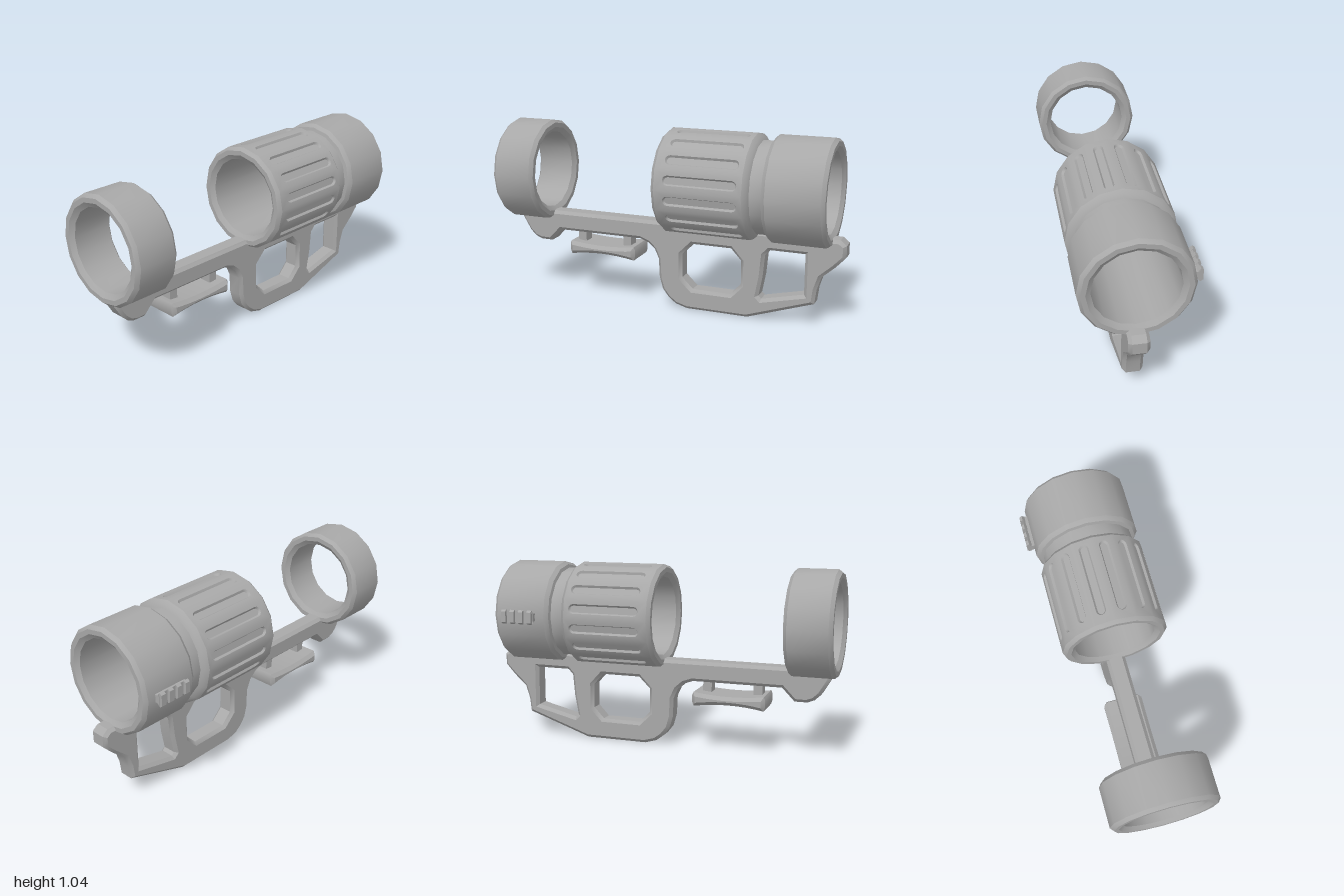
import * as THREE from 'three';
import { mergeGeometries, toCreasedNormals } from 'three/addons/utils/BufferGeometryUtils.js';

const SIDES = 16, RADIUS = 0.295, BORE = 0.225;
const AXIS_Y = 0.745, AXIS_Z = 0.02;
const STEP = (Math.PI * 2) / SIDES;

const toShape = (pts, Type = THREE.Shape) => new Type(pts.map(([x, y]) => new THREE.Vector2(x, y)));

// Position-only, unindexed copy, ready for merging
function bare(g) {
  const out = g.index ? g.toNonIndexed() : g;
  for (const name of ['uv', 'normal']) out.deleteAttribute(name);
  return out;
}

// Creased normals, computed at a larger scale so small bevels stay distinct
function crease(g, angle = 0.6) {
  const big = bare(g).scale(100, 100, 100);
  return toCreasedNormals(big, angle).scale(0.01, 0.01, 0.01);
}

// Lathe along x; profile entries are [radius, x]
function tube(profile) {
  return new THREE.LatheGeometry(profile.map(([r, x]) => new THREE.Vector2(r, x)), SIDES)
    .rotateZ(-Math.PI / 2);
}

// Chamfered plate spanning z0..z1
function plate(outline, holes, z0, z1, bevel) {
  const shape = toShape(outline);
  holes.forEach((h) => shape.holes.push(toShape(h, THREE.Path)));
  const g = new THREE.ExtrudeGeometry(shape, {
    depth: z1 - z0 - 2 * bevel, bevelEnabled: true, bevelSegments: 1,
    bevelSize: bevel, bevelThickness: bevel, bevelOffset: -bevel,
  });
  return g.translate(0, 0, z0 + bevel);
}

// Round-ended slot outline, counter-clockwise
function slotOutline(cx, halfLength, r) {
  const pts = [];
  for (const side of [1, -1]) {
    for (let i = 0; i <= 6; i++) {
      const a = (i / 6 - 0.5) * Math.PI + (side < 0 ? Math.PI : 0);
      pts.push([cx + side * (halfLength - r) + Math.cos(a) * r, Math.sin(a) * r]);
    }
  }
  return pts;
}

// One flat side of the grip sleeve with a recessed slot
function slottedFacet(x0, x1) {
  const h = RADIUS * Math.sin(STEP / 2), depth = 0.012;
  const outer = slotOutline(0.255, 0.207, 0.027), inner = slotOutline(0.255, 0.199, 0.019);
  const face = toShape([[x0, -h], [x1, -h], [x1, h], [x0, h]]);
  face.holes.push(toShape(outer, THREE.Path));
  const floor = new THREE.ShapeGeometry(toShape(inner)).translate(0, 0, -depth);
  const wall = [];
  outer.forEach((o, i) => {
    const j = (i + 1) % outer.length;
    const a = [...o, 0], b = [...outer[j], 0];
    const c = [...inner[j], -depth], d = [...inner[i], -depth];
    wall.push(...a, ...b, ...d, ...b, ...c, ...d);
  });
  const wallGeo = new THREE.BufferGeometry();
  wallGeo.setAttribute('position', new THREE.Float32BufferAttribute(wall, 3));
  return mergeGeometries([bare(new THREE.ShapeGeometry(face)), bare(floor), wallGeo])
    .translate(0, 0, RADIUS * Math.cos(STEP / 2));
}

export function createModel() {
  const model = new THREE.Group();
  const grey = new THREE.MeshStandardMaterial({ color: 0xa8a8a8 });
  grey.name = 'grey';
  const add = (name, geometry, parent = model) => {
    const mesh = new THREE.Mesh(geometry, grey);
    mesh.name = name;
    parent.add(mesh);
    return mesh;
  };

  // Front ring
  const ring = tube([
    [BORE, -0.98], [0.252, -1], [0.278, -1], [RADIUS, -0.98], [RADIUS, -0.765],
    [0.278, -0.745], [0.252, -0.745], [BORE, -0.765], [BORE, -0.98],
  ]);
  add('frontRing', crease(ring)).position.set(0, AXIS_Y, AXIS_Z);

  // Hollow barrel: slotted sleeve, neck and rear collar
  const x0 = 0, x1 = 0.49;
  const barrel = [bare(tube([
    [RADIUS, x1], [0.278, 0.51], [0.258, 0.52], [0.258, 0.585], [0.278, 0.59],
    [RADIUS, 0.612], [RADIUS, 0.905], [0.278, 0.925], [0.252, 0.925],
    [BORE, 0.905], [BORE, 0], [0.252, -0.02], [0.278, -0.02], [RADIUS, x0],
  ]))];
  const facet = slottedFacet(x0, x1);
  for (let k = 0; k < SIDES; k++) barrel.push(facet.clone().rotateX((k + 0.5) * STEP));
  add('barrel', crease(mergeGeometries(barrel))).position.set(0, AXIS_Y, AXIS_Z);

  // Lower frame with trigger guard opening and rear grip opening
  const frame = [
    [-0.957, 0.503], [-0.965, 0.45], [-0.915, 0.365], [-0.88, 0.332], [-0.84, 0.316],
    [-0.77, 0.316], [-0.7, 0.388], [-0.19, 0.388], [-0.14, 0.37], [-0.1, 0.335],
    [-0.075, 0.28], [-0.07, 0.17], [-0.05, 0.1], [-0.015, 0.055], [0.03, 0.02],
    [0.1, 0], [0.46, 0], [0.838, 0.128], [0.848, 0.21], [0.872, 0.285],
    [0.945, 0.35], [1, 0.41], [1, 0.475], [0.965, 0.503],
  ];
  const triggerOpening = [
    [0.135, 0.39], [0.36, 0.39], [0.42, 0.325], [0.42, 0.185],
    [0.36, 0.122], [0.135, 0.122], [0.07, 0.185], [0.07, 0.325],
  ];
  const gripOpening = [
    [0.585, 0.405], [0.78, 0.405], [0.78, 0.175], [0.54, 0.118],
    [0.524, 0.135], [0.545, 0.25], [0.556, 0.375],
  ];
  add('frame', crease(plate(frame, [triggerOpening, gripOpening], -0.035, 0.075, 0.018)));

  // Curved hand rest hung under the rail on two posts
  const handRest = new THREE.Group();
  handRest.name = 'handRest';
  model.add(handRest);
  const rest = [];
  const curve = (t, end, mid) => mid + (end - mid) * t * t;
  for (let i = -4; i <= 4; i++) rest.push([-0.415 + i * 0.05, curve(i / 4, 0.262, 0.28)]);
  rest.push([-0.207, 0.285], [-0.207, 0.325]);
  for (let i = 4; i >= -4; i--) rest.push([-0.415 + i * 0.05, curve(i / 4, 0.342, 0.328)]);
  rest.push([-0.623, 0.325], [-0.623, 0.285]);
  add('restPlate', crease(plate(rest, [], -0.105, 0.12, 0.02)), handRest);
  for (const x of [-0.565, -0.275]) {
    add('restPost', new THREE.BoxGeometry(0.05, 0.11, 0.07).translate(x, 0.35, AXIS_Z), handRest);
  }

  // Toothed accessory rail on the back of the collar
  const accessoryRail = new THREE.Group();
  accessoryRail.name = 'accessoryRail';
  accessoryRail.position.y = AXIS_Y;
  model.add(accessoryRail);
  const railPart = (name, section, x, length) => {
    // section is [distance behind centre, height], swept along x
    const g = new THREE.ExtrudeGeometry(toShape(section), { depth: length, bevelEnabled: false });
    add(name, crease(g.rotateY(Math.PI / 2)), accessoryRail).position.x = x;
  };
  railPart('railBase', [[0.255, -0.022], [0.288, -0.022], [0.298, -0.034],
    [0.298, 0.034], [0.288, 0.022], [0.255, 0.022]], 0.665, 0.195);
  for (let i = 0; i < 4; i++) {
    railPart('railTooth', [[0.286, -0.022], [0.301, -0.04], [0.315, -0.03],
      [0.315, 0.03], [0.301, 0.04], [0.286, 0.022]], 0.67 + i * 0.053, 0.028);
  }
  return model;
}
